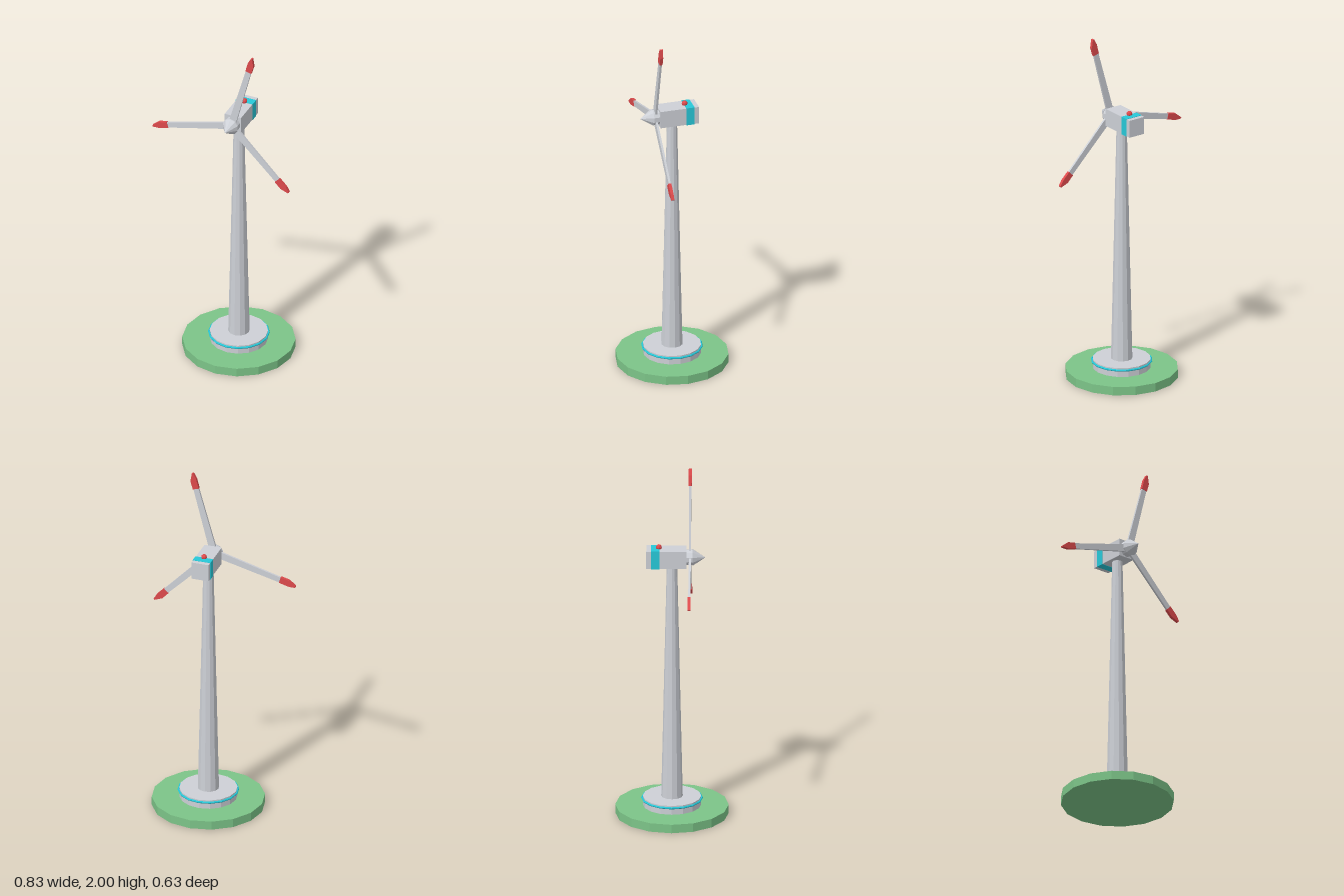
import * as THREE from 'three';

const paint = (name, color) => {
  const m = new THREE.MeshStandardMaterial({ color, flatShading: true });
  m.name = name;
  return m;
};

export function createModel() {
  const gray = paint('lightGray', 0xcdd0d6);
  const green = paint('grassGreen', 0x7cc488);
  const cyan = paint('cyan', 0x27c8d8);
  const red = paint('signalRed', 0xdd4a4c);

  const turbine = new THREE.Group();
  turbine.name = 'windTurbine';
  // The tower stands off centre so that base and blades balance around x = 0
  turbine.position.x = 0.063;

  const add = (parent, name, geometry, material, x = 0, y = 0, z = 0) => {
    const mesh = new THREE.Mesh(geometry, material);
    mesh.name = name;
    mesh.position.set(x, y, z);
    parent.add(mesh);
    return mesh;
  };

  // Ground disc, plinth and trim ring
  add(turbine, 'groundDisc', new THREE.CylinderGeometry(0.315, 0.315, 0.05, 16), green, 0, 0.025, 0);
  add(turbine, 'plinth', new THREE.CylinderGeometry(0.162, 0.162, 0.052, 16), gray, 0, 0.076, 0);
  add(turbine, 'plinthRing', new THREE.TorusGeometry(0.166, 0.006, 6, 16), cyan, 0, 0.09, 0)
    .rotation.x = Math.PI / 2;

  // Tapered tower
  add(turbine, 'tower', new THREE.CylinderGeometry(0.029, 0.06, 1.39, 12), gray, 0, 0.79, 0);

  // Nacelle with wrap-around band and warning beacon
  add(turbine, 'nacelle', new THREE.BoxGeometry(0.101, 0.101, 0.223), gray, 0, 1.523, -0.031);
  add(turbine, 'nacelleBand', new THREE.BoxGeometry(0.105, 0.105, 0.047), cyan, 0, 1.523, -0.0925);
  add(turbine, 'beacon', new THREE.SphereGeometry(0.0167, 8, 6), red, 0, 1.582, -0.073);

  // Rotor: hub, nose cone and three blades around the z axis
  const rotor = new THREE.Group();
  rotor.name = 'rotor';
  rotor.position.set(0, 1.522, 0.1);
  turbine.add(rotor);
  add(rotor, 'hub', new THREE.CylinderGeometry(0.045, 0.045, 0.04, 10), gray, 0, 0, -0.005)
    .rotation.x = Math.PI / 2;
  add(rotor, 'noseCone', new THREE.ConeGeometry(0.048, 0.07, 10), gray, 0, 0, 0.05)
    .rotation.x = Math.PI / 2;

  // Flat plate cut from an outline, centred on z = 0
  const plate = (points, depth) => {
    const shape = new THREE.Shape(points.map(([x, y]) => new THREE.Vector2(x, y)));
    return new THREE.ExtrudeGeometry(shape, { depth, bevelEnabled: false }).translate(0, 0, -depth / 2);
  };
  const bladeShape = plate([[-0.02, 0.01], [0.022, 0.01], [0.018, 0.42], [-0.013, 0.42]], 0.012);
  const tipShape = plate([
    [-0.015, 0.4], [0.021, 0.4], [0.022, 0.45], [0.002, 0.495], [-0.006, 0.495], [-0.015, 0.46],
  ], 0.017);

  for (let i = 0; i < 3; i++) {
    const blade = new THREE.Group();
    blade.name = 'blade' + (i + 1);
    blade.rotation.z = -THREE.MathUtils.degToRad(15 + 120 * i);
    add(blade, 'bladeBody', bladeShape, gray);
    add(blade, 'bladeTip', tipShape, red);
    rotor.add(blade);
  }

  const model = new THREE.Group();
  model.name = 'model';
  model.add(turbine);
  return model;
}
